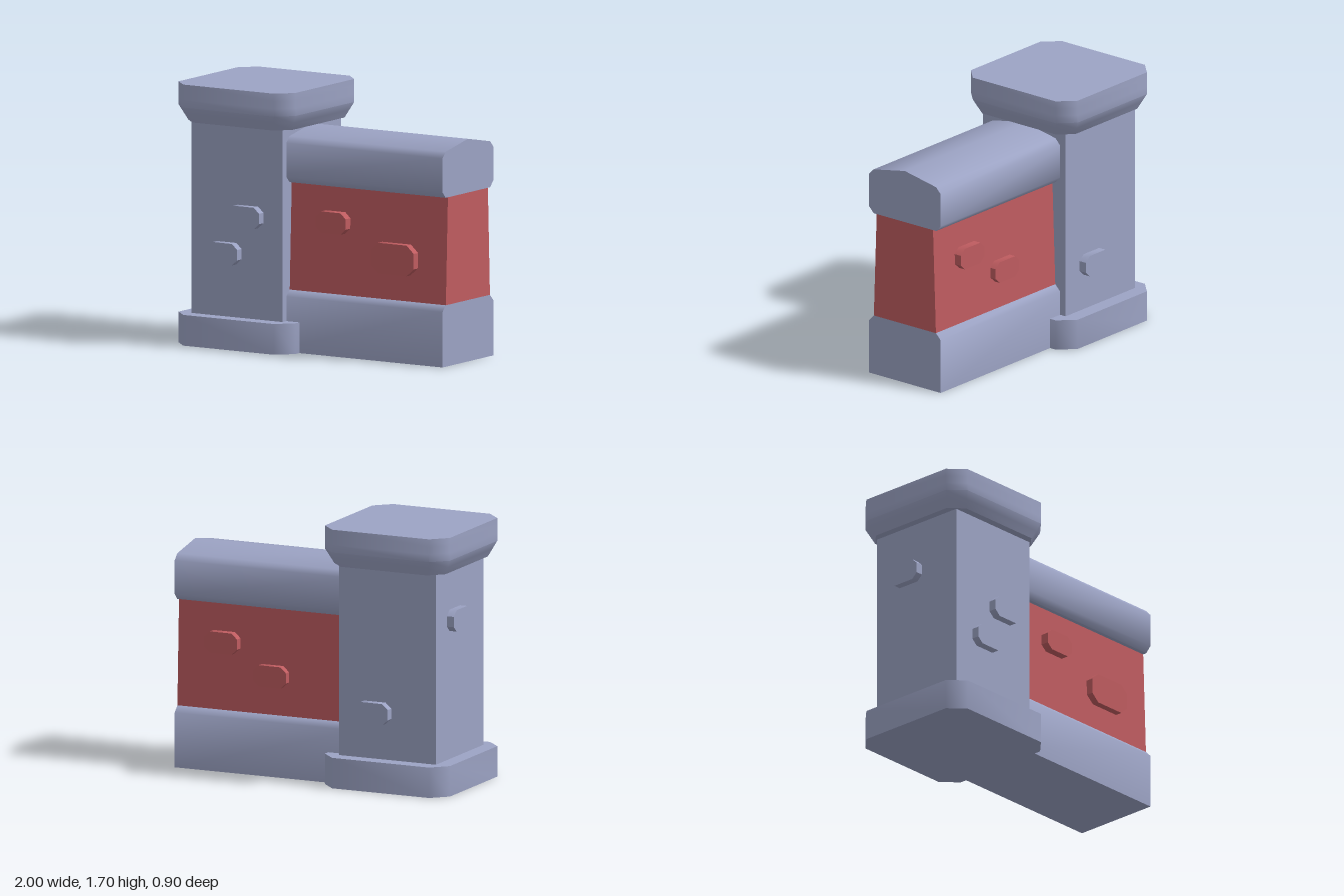
import * as THREE from 'three';
import { toCreasedNormals } from 'three/addons/utils/BufferGeometryUtils.js';

const CREASE = THREE.MathUtils.degToRad(46);

const stone = new THREE.MeshStandardMaterial({ color: 0x9ca3c4 });
stone.name = 'greyStone';
const brickRed = new THREE.MeshStandardMaterial({ color: 0xbf5c60 });
brickRed.name = 'redBrick';

function addMesh(parent, name, geometry, material) {
  const mesh = new THREE.Mesh(geometry, material);
  mesh.name = name;
  parent.add(mesh);
  return mesh;
}

// Rectangle with cut corners, centred on the origin
function cutRect(w, h, cx, cy = cx) {
  const a = w / 2, b = h / 2;
  return new THREE.Shape([
    [a - cx, -b], [a, -b + cy], [a, b - cy], [a - cx, b],
    [-a + cx, b], [-a, b - cy], [-a, -b + cy], [-a + cx, -b],
  ].map(([x, y]) => new THREE.Vector2(x, y)));
}

function extrude(shape, depth, steps = 1) {
  return new THREE.ExtrudeGeometry(shape, { depth, steps, bevelEnabled: false });
}

// Symmetric [halfWidth, y] profile swept along x
function wallCourse(profile, x0, x1) {
  const right = profile.map(([w, y]) => new THREE.Vector2(w, y));
  const left = profile.filter(([w]) => w > 0).reverse().map(([w, y]) => new THREE.Vector2(-w, y));
  const g = extrude(new THREE.Shape([...right, ...left]), x1 - x0);
  g.rotateY(Math.PI / 2).translate(x0, 0, 0);
  return toCreasedNormals(g, CREASE);
}

export function createModel() {
  const model = new THREE.Group();
  model.name = 'wallWithPillar';
  const body = new THREE.Group();
  body.name = 'wallBody';
  body.rotation.y = 0.0136; // stands very slightly askew
  body.position.z = -0.009;
  model.add(body);

  // Pillar
  const pillar = new THREE.Group();
  pillar.name = 'pillar';
  pillar.position.x = -0.55;
  body.add(pillar);

  const plinth = extrude(cutRect(0.895, 0.895, 0.1), 0.2).rotateX(-Math.PI / 2);
  addMesh(pillar, 'plinth', toCreasedNormals(plinth, CREASE), stone);

  const shaft = new THREE.BoxGeometry(0.695, 1.27, 0.695).translate(0, 0.825, 0);
  addMesh(pillar, 'shaft', shaft, stone);

  // Cap: the lowest part narrows towards the shaft
  const cap = extrude(cutRect(0.895, 0.895, 0.1), 0.25, 5).rotateX(-Math.PI / 2);
  const p = cap.attributes.position;
  for (let i = 0; i < p.count; i++) {
    const s = 1 - 0.11 * Math.max(0, (0.1 - p.getY(i)) / 0.1);
    p.setX(i, p.getX(i) * s);
    p.setZ(i, p.getZ(i) * s);
  }
  cap.translate(0, 1.45, 0);
  addMesh(pillar, 'cap', toCreasedNormals(cap, CREASE), stone);

  // Wall: footing, red panel and coping
  const wall = new THREE.Group();
  wall.name = 'wall';
  body.add(wall);
  const x0 = -0.3, x1 = 0.996;
  addMesh(wall, 'footing', wallCourse([[0.3, 0], [0.3, 0.36], [0.26, 0.4]], x0, x1), stone);
  addMesh(wall, 'redPanel', wallCourse([[0.26, 0.4], [0.236, 1.1]], x0, x1), brickRed);
  addMesh(wall, 'coping', wallCourse([
    [0.262, 1.1], [0.3, 1.14], [0.3, 1.36], [0.262, 1.4], [0, 1.45],
  ], x0, x1), stone);

  // Raised bricks: name, material, width, height, cut, position of outer face, turn about y
  const bricks = [
    ['pillarFrontBrick', stone, 0.235, 0.14, 0.04, [-0.465, 0.865, 0.4], 0],
    ['pillarFrontBrick', stone, 0.23, 0.14, 0.04, [-0.63, 0.615, 0.4], 0],
    ['pillarSideBrick', stone, 0.235, 0.14, 0.04, [-0.948, 1.112, -0.07], -Math.PI / 2],
    ['pillarBackBrick', stone, 0.235, 0.14, 0.04, [-0.46, 0.505, -0.4], Math.PI],
    ['wallFrontBrick', brickRed, 0.23, 0.14, 0.04, [0.137, 0.867, 0.3], 0],
    ['wallFrontBrick', brickRed, 0.33, 0.2, 0.055, [0.61, 0.67, 0.3], 0],
    ['wallBackBrick', brickRed, 0.235, 0.14, 0.04, [0.67, 0.845, -0.295], Math.PI],
    ['wallBackBrick', brickRed, 0.235, 0.14, 0.04, [0.32, 0.655, -0.295], Math.PI],
  ];
  for (const [name, material, w, h, cut, pos, turn] of bricks) {
    const g = extrude(cutRect(w, h, cut, cut * 0.9), 0.08).translate(0, 0, -0.08);
    const brick = addMesh(body, name, toCreasedNormals(g, CREASE), material);
    brick.position.set(...pos);
    brick.rotation.y = turn;
  }
  return model;
}
